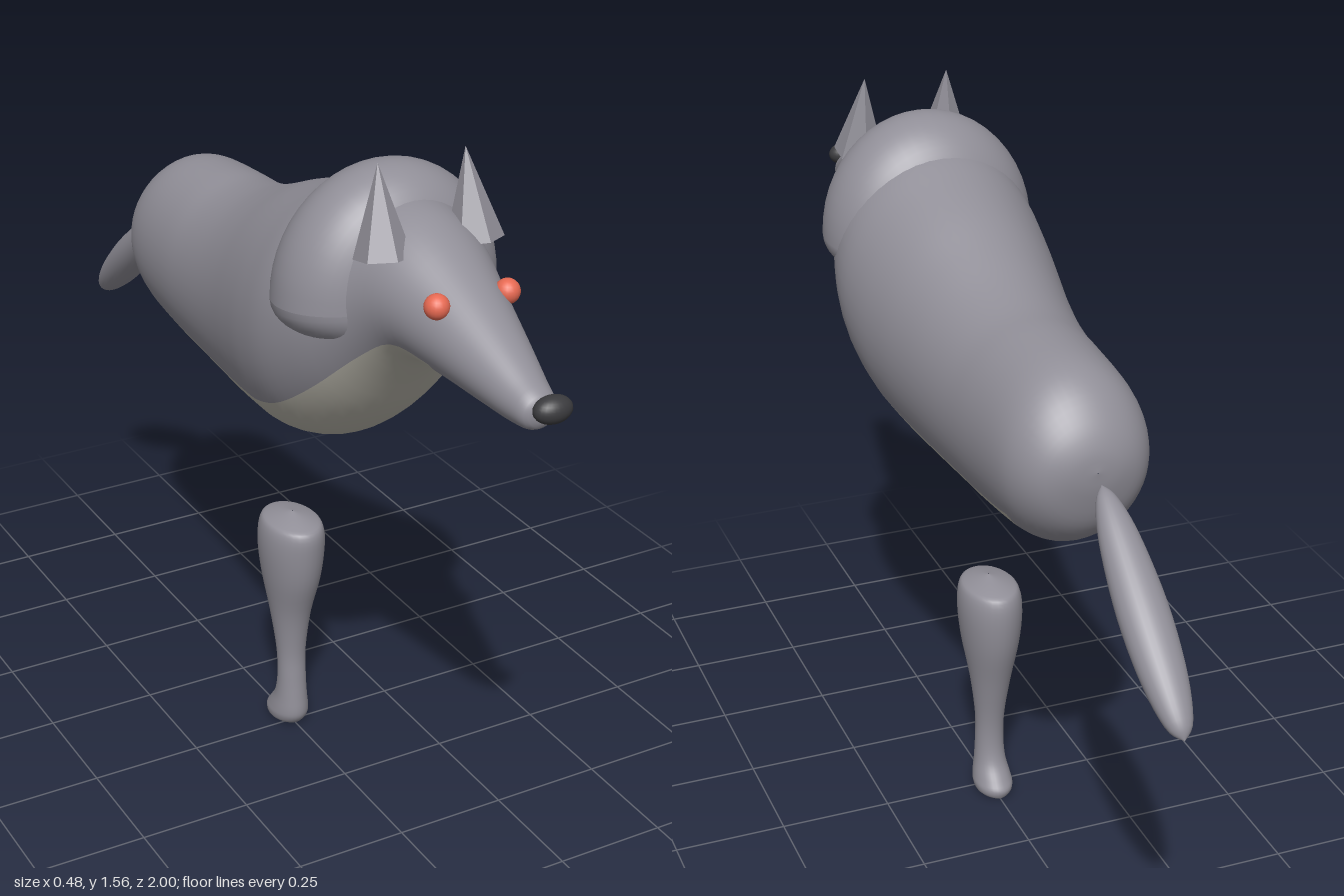
import * as THREE from 'three';

const mat = (name, color, extra = {}) => Object.assign(new THREE.MeshStandardMaterial({ color, ...extra }), { name });

// Smooth loft along z through elliptical stations [z, top, bottom, halfWidth].
// isAccent(z, angleFromBottom) sends faces to the second material group.
function loft(stations, sides, steps, isAccent = () => false) {
  const heights = new THREE.CatmullRomCurve3(
    stations.map(([z, t, b]) => new THREE.Vector3(z, (t + b) / 2, (t - b) / 2)), false, 'catmullrom', 0.5);
  const widths = new THREE.CatmullRomCurve3(
    stations.map(([z, , , w]) => new THREE.Vector3(z, w, 0)), false, 'catmullrom', 0.5);
  const rings = (stations.length - 1) * steps;
  const pos = [], zs = [], main = [], accent = [];
  for (let i = 0; i <= rings; i++) {
    const h = heights.getPoint(i / rings), w = widths.getPoint(i / rings).y;
    zs.push(h.x);
    for (let j = 0; j < sides; j++) {
      const a = (j / sides) * Math.PI * 2;
      pos.push(Math.max(w, 0) * Math.sin(a), h.y - Math.max(h.z, 0) * Math.cos(a), h.x);
    }
  }
  for (let i = 0; i < rings; i++) {
    for (let j = 0; j < sides; j++) {
      const k = (j + 1) % sides;
      const a = i * sides + j, b = i * sides + k, c = a + sides, d = b + sides;
      const mid = ((j + 0.5) / sides) * 360;
      const out = isAccent((zs[i] + zs[i + 1]) / 2, Math.min(mid, 360 - mid)) ? accent : main;
      out.push(a, b, c, b, d, c);
    }
  }
  const g = new THREE.BufferGeometry();
  g.setAttribute('position', new THREE.Float32BufferAttribute(pos, 3));
  g.setIndex([...main, ...accent]);
  g.addGroup(0, main.length, 0);
  g.addGroup(main.length, accent.length, 1);
  g.computeVertexNormals();
  return g;
}

export function createModel() {
  const model = new THREE.Group();
  const fur = mat('grey fur', 0x918f98);
  const earFur = mat('faceted grey fur', 0x918f98, { flatShading: true });
  const belly = mat('pale belly', 0xb7b4a9);
  const black = mat('dark nose', 0x3b3b3e);
  const red = mat('red eye', 0xf06e56);
  const add = (name, geometry, material) => {
    const m = new THREE.Mesh(geometry, material);
    m.name = name;
    model.add(m);
    return m;
  };

  // Torso, neck and muzzle in one skin, with the pale underside as a material group
  const bodyStations = [
    [-0.582, 1.085, 1.083, 0.001], [-0.575, 1.13, 1.03, 0.06], [-0.55, 1.18, 0.955, 0.112],
    [-0.5, 1.232, 0.9, 0.147], [-0.43, 1.262, 0.869, 0.163], [-0.3, 1.273, 0.852, 0.172],
    [-0.2, 1.278, 0.846, 0.178], [-0.1, 1.3, 0.84, 0.187], [0, 1.337, 0.836, 0.2],
    [0.1, 1.38, 0.838, 0.217], [0.2, 1.417, 0.851, 0.233], [0.3, 1.453, 0.893, 0.237],
    [0.4, 1.467, 0.98, 0.212], [0.5, 1.462, 1.1, 0.157], [0.58, 1.437, 1.172, 0.128],
    [0.68, 1.385, 1.178, 0.1], [0.8, 1.32, 1.173, 0.072], [0.89, 1.27, 1.17, 0.05],
    [0.935, 1.245, 1.178, 0.036], [0.947, 1.215, 1.211, 0.001],
  ];
  add('body', loft(bodyStations, 48, 4, (z, a) => a < 52.5 && z > -0.43 && z < 0.68), [fur, belly]);

  // Mane: a sphere squared off along z, tall above and shallow below, leaning forward
  const mane = new THREE.SphereGeometry(1, 48, 32).rotateX(Math.PI / 2);
  const p = mane.attributes.position;
  for (let i = 0; i < p.count; i++) {
    const x = p.getX(i), y = p.getY(i), z = p.getZ(i);
    const grown = Math.pow(Math.max(Math.hypot(x, y), 1e-6), -0.35);
    p.setXYZ(i, x * grown * 0.238, y * grown * (y > 0 ? 0.262 : 0.11) + z * 0.012, z * 0.145);
  }
  mane.computeVertexNormals();
  add('mane', mane, fur).position.set(0, 1.252, 0.38);

  // Nose
  const nose = add('nose', new THREE.SphereGeometry(1, 24, 16), black);
  nose.scale.set(0.04, 0.027, 0.027);
  nose.position.set(0, 1.234, 0.973);

  // Eyes and faceted ears, mirrored
  for (const s of [1, -1]) {
    const side = s > 0 ? 'left' : 'right';
    add(side + 'Eye', new THREE.SphereGeometry(0.025, 20, 14), red).position.set(s * 0.077, 1.343, 0.7);

    const base = new THREE.Vector3(s * 0.102, 1.388, 0.545), tip = new THREE.Vector3(s * 0.096, 1.565, 0.51);
    const ear = add(side + 'Ear', new THREE.ConeGeometry(0.057, base.distanceTo(tip), 6), earFur);
    ear.position.copy(base).lerp(tip, 0.5);
    ear.quaternion.setFromUnitVectors(new THREE.Vector3(0, 1, 0), tip.clone().sub(base).normalize());
  }

  // Tail: a slender spindle sloping down and back
  const start = new THREE.Vector3(0, 1.068, -0.6), end = new THREE.Vector3(0, 0.727, -1);
  const len = start.distanceTo(end);
  const outline = new THREE.SplineCurve([[0, 0], [0.022, 0.06], [0.041, 0.22], [0.052, 0.5], [0.046, 0.76], [0.027, 0.94], [0, 1]]
    .map(([r, t]) => new THREE.Vector2(r, t * len))).getPoints(28);
  outline.forEach((v) => { v.x = Math.max(v.x, 0); });
  const tail = add('tail', new THREE.LatheGeometry(outline, 28), fur);
  tail.scale.z = 0.85;
  tail.position.copy(start);
  tail.quaternion.setFromUnitVectors(new THREE.Vector3(0, 1, 0), end.clone().sub(start).normalize());

  // Leg: stations [height, rear reach, front reach, halfWidth], stood upright after lofting
  const legStations = [
    [0.003, 0.075, -0.012, 0.001], [0.008, 0.08, -0.022, 0.036], [0.025, 0.084, -0.034, 0.044],
    [0.045, 0.07, -0.037, 0.042], [0.08, 0.046, -0.034, 0.036], [0.13, 0.036, -0.03, 0.033],
    [0.2, 0.04, -0.028, 0.034], [0.3, 0.062, -0.043, 0.046], [0.4, 0.09, -0.075, 0.063],
    [0.48, 0.1, -0.088, 0.07], [0.53, 0.094, -0.087, 0.064], [0.545, 0.07, -0.062, 0.046],
    [0.56, 0.002, -0.002, 0.001],
  ];
  add('leg', loft(legStations, 32, 4).rotateX(-Math.PI / 2), [fur, fur]);

  return model;
}
